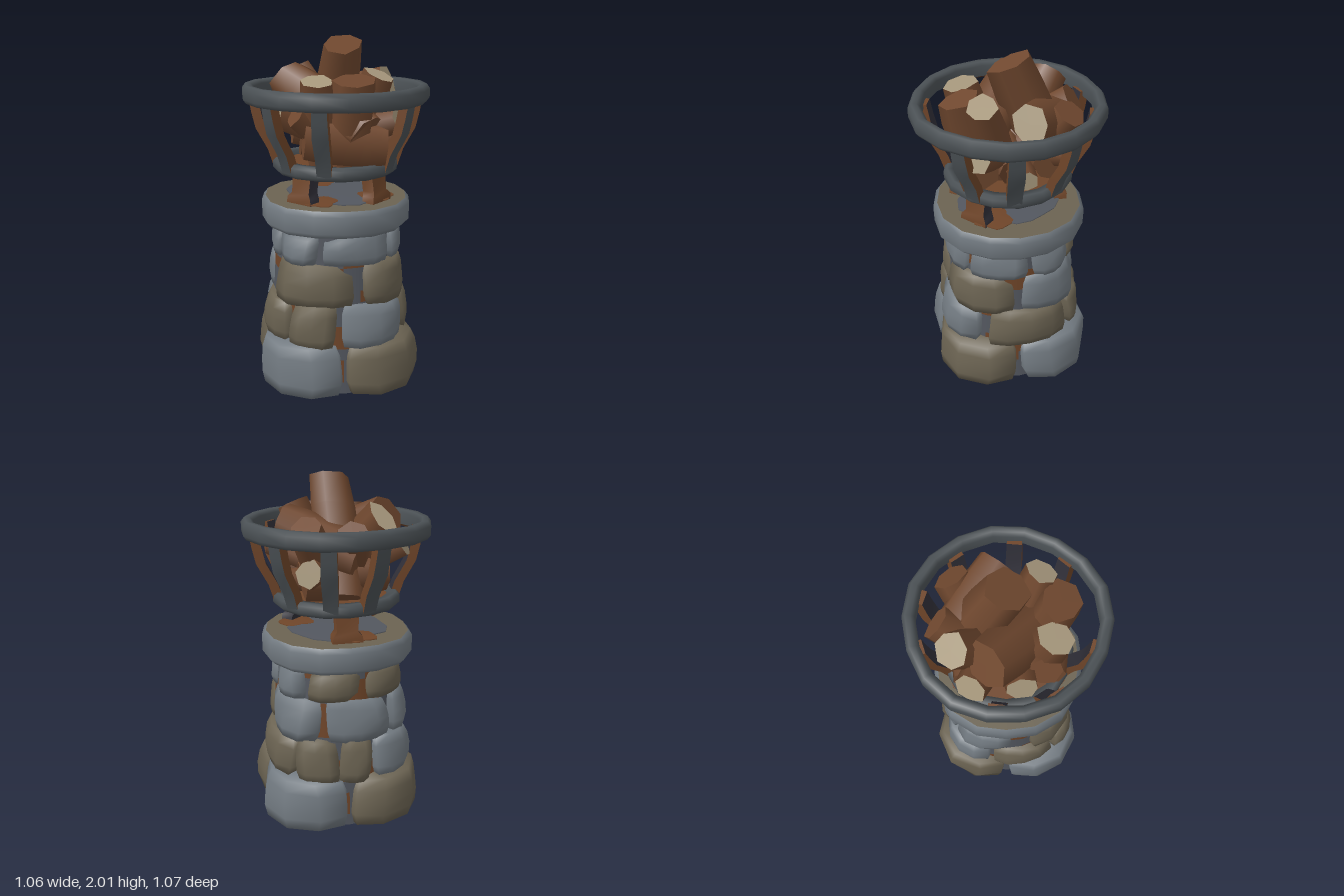
import * as THREE from 'three';
import { mergeVertices } from 'three/addons/utils/BufferGeometryUtils.js';

const mat = (name, color) => new THREE.MeshStandardMaterial({ name, color });
const grey = mat('grey stone', 0x727a81);
const olive = mat('olive stone', 0x6b6352);
const slate = mat('slate mortar', 0x53575f);
const rust = mat('rust', 0x6f4529);
const iron = mat('iron', 0x4b5155);
const dark = mat('dark iron', 0x302f38);
const bark = mat('bark', 0x70482f);
const wood = mat('cut wood', 0xa6977c);

const DEG = Math.PI / 180;

function add(parent, name, geometry, material) {
  const mesh = new THREE.Mesh(geometry, material);
  mesh.name = name;
  parent.add(mesh);
  return mesh;
}

// Move every vertex by a rule
function warp(geometry, rule) {
  const p = geometry.attributes.position, v = new THREE.Vector3();
  for (let i = 0; i < p.count; i++) {
    rule(v.fromBufferAttribute(p, i));
    p.setXYZ(i, v.x, v.y, v.z);
  }
  return geometry;
}

// Rounded block bent around the slightly square tower; azimuth 0 is the front, growing towards +x
function stone(azimuth, width, y0, y1, radius, drop, seed) {
  let g = new THREE.BoxGeometry(2, 2, 2, 4, 4, 2);
  g.deleteAttribute('uv');
  g.deleteAttribute('normal');
  g = mergeVertices(g);
  warp(g, v => {
    const n = 7;
    const len = Math.pow(Math.abs(v.x) ** n + Math.abs(v.y) ** n + Math.abs(v.z) ** n, 1 / n);
    v.divideScalar(len);
    const lump = 0.01 * Math.sin(v.x * 3 + seed * 2.1) * Math.cos(v.y * 2 + seed);
    const a = (azimuth + v.x * width / 2 + 2 * v.y * Math.sin(seed * 3)) * DEG;
    const r = radius - 0.1 + v.z * 0.1 - drop * v.x * v.x - 0.015 * v.y + lump
      - 0.015 * v.y * v.y - 0.016 * Math.cos(4 * a);
    const y = y0 + (y1 - y0) * (v.y + 1) / 2 + (v.y > 0 ? 0.015 * v.x * Math.sin(seed * 5) : 0);
    v.set(r * Math.sin(a), y, r * Math.cos(a));
  });
  g.computeVertexNormals();
  return g;
}

// Ring or disc turned from a profile, uneven around the axis and optionally a little square
function turned(profile, sides, uneven, square = 0) {
  const g = new THREE.LatheGeometry(profile.map(p => new THREE.Vector2(...p)), sides);
  return warp(g, v => {
    const a = Math.atan2(v.x, v.z);
    const k = 1 + uneven * (Math.sin(3 * a + 1) + Math.sin(5 * a)) - square * Math.cos(4 * a);
    v.x *= k;
    v.z *= k;
  });
}

// Flat iron strip following [radius, y, width] points
function strip(points, thickness) {
  const n = points.length - 1;
  const g = new THREE.BoxGeometry(1, n, 1, 1, n, 1);
  warp(g, v => {
    const [r, y, w] = points[Math.round(v.y + n / 2)];
    v.set(v.x * w, y, r + v.z * thickness);
  });
  g.computeVertexNormals();
  return g;
}

// Uneven log with worn ends from one point to another
function log(a, b, radius, seed) {
  const from = new THREE.Vector3(...a), to = new THREE.Vector3(...b);
  const dir = to.clone().sub(from), len = dir.length();
  const g = new THREE.CylinderGeometry(radius, radius, len, 7, 4);
  warp(g, v => {
    const t = Math.atan2(v.x, v.z), end = 2 * Math.abs(v.y) / len;
    const k = (1.02 - 0.12 * end ** 4)
      * (1 + 0.08 * Math.sin(2 * t + seed * 1.7) + 0.05 * Math.sin(3 * t + seed + v.y * 4));
    v.set(v.x * k, v.y + v.x * 0.15 * Math.sin(seed * 2), v.z * k);
  });
  g.applyQuaternion(new THREE.Quaternion().setFromUnitVectors(new THREE.Vector3(0, 1, 0), dir.normalize()));
  const mid = from.add(to).multiplyScalar(0.5);
  return g.translate(mid.x, mid.y, mid.z);
}

export function createModel() {
  const model = new THREE.Group();
  model.name = 'brazier';

  // Mortar core with patches of two colours
  const core = new THREE.CylinderGeometry(0.355, 0.405, 0.96, 24, 14, true);
  core.clearGroups();
  for (let i = 0; i < core.index.count / 6; i++) {
    const col = Math.floor(i / 14), row = i % 14;
    const patch = Math.sin(col * 1.05 + row * 0.9) + Math.sin(row * 1.7 - col * 0.52);
    core.addGroup(i * 6, 6, patch > 0.1 ? 0 : 1);
  }
  add(model, 'mortarCore', core.translate(0, 0.49, 0), [rust, slate]);
  add(model, 'towerBase', new THREE.CylinderGeometry(0.4, 0.4, 0.02, 16), olive).position.y = 0.02;

  // Stone courses: each stone is [azimuth, width in degrees, colour]
  const courses = [
    { name: 'baseStone', y0: 0.005, y1: 0.32, r: 0.52, drop: 0.065, stones: [
      [45, 91, olive], [135, 91, grey], [225, 91, olive], [315, 91, grey]] },
    { name: 'lowerStone', y0: 0.285, y1: 0.555, r: 0.452, drop: 0.022, stones: [
      [27, 62, grey], [99, 74, olive], [154, 36, olive], [185, 28, olive],
      [228, 56, grey], [285, 58, olive], [335, 40, olive]] },
    { name: 'middleStone', y0: 0.525, y1: 0.795, r: 0.42, drop: 0.018, stones: [
      [-29, 82, olive], [52, 74, olive], [124, 67, grey], [188, 60, grey], [248, 57, grey]] },
    { name: 'upperStone', y0: 0.77, y1: 0.975, r: 0.395, drop: 0.012, stones: [
      [12, 65, grey], [73, 56, grey], [121, 40, grey], [168, 50, olive],
      [222, 58, olive], [274, 44, grey], [318, 42, grey]] },
  ];
  courses.forEach((c, k) => c.stones.forEach(([azimuth, width, m], i) => {
    const g = stone(azimuth, width, c.y0, c.y1, c.r, c.drop, i * 1.3 + k);
    add(model, c.name + (i + 1), g, [m, m, m, k === 0 ? olive : m, m, m]);
  }));

  // Cap slab with a worn top
  add(model, 'capStone', turned([[0.3, 0.96], [0.415, 0.955], [0.443, 0.985], [0.445, 1.08], [0.42, 1.108]],
    16, 0.008, 0.02), grey);
  add(model, 'capTop', turned([[0.421, 1.108], [0, 1.113]], 16, 0.008, 0.02), olive);
  const patchGeometry = (r, uneven) => turned([[r, 1.11], [r, 1.117], [0, 1.117]], 20, uneven);
  add(model, 'capMortarPatch', patchGeometry(0.28, 0.07), slate);
  for (const a of [45, 180, -45]) {
    const g = patchGeometry(0.1, 0.1).translate(0.25 * Math.sin(a * DEG + 0.3), 0.003, 0.25 * Math.cos(a * DEG + 0.3));
    add(model, 'capRustPatch', g, rust);
  }

  // Faces in order: two sides, two ends, outside, inside
  const barFaces = [rust, rust, rust, rust, iron, dark];
  const legFaces = [dark, rust, rust, rust, rust, dark];

  // Three legs on flared feet
  for (const a of [45, 180, -45]) {
    const g = strip([[0.295, 1.1, 0.175], [0.295, 1.145, 0.165], [0.28, 1.17, 0.12], [0.265, 1.3, 0.135]], 0.075);
    add(model, 'leg', g, legFaces).rotation.y = a * DEG;
  }

  // Basket hoops and floor, the upper hoop rusted underneath
  add(model, 'lowerHoop', turned([[0.3, 1.262], [0.345, 1.255], [0.365, 1.275], [0.365, 1.315], [0.345, 1.333],
    [0.3, 1.328], [0.3, 1.262]], 16, 0.008), iron);
  add(model, 'basketFloor', new THREE.CylinderGeometry(0.31, 0.31, 0.03, 16), rust).position.y = 1.285;
  const upperHoop = turned([[0.468, 1.665], [0.49, 1.65], [0.518, 1.652], [0.534, 1.675], [0.534, 1.725],
    [0.515, 1.75], [0.485, 1.748], [0.466, 1.73], [0.468, 1.665]], 18, 0.008);
  for (let i = 0; i < 18; i++) {
    upperHoop.addGroup(i * 48, 12, i % 3 ? 1 : 0);
    upperHoop.addGroup(i * 48 + 12, 36, 0);
  }
  add(model, 'upperHoop', upperHoop, [iron, rust]);

  // Curved basket bars, azimuths measured from the front towards +x
  for (const a of [86, 49, -17, -56, -96, -161, 164, 127]) {
    const g = strip([[0.33, 1.28, 0.08], [0.362, 1.38, 0.085], [0.428, 1.5, 0.09],
      [0.45, 1.59, 0.085], [0.468, 1.69, 0.08]], 0.055);
    add(model, 'basketBar', g, barFaces).rotation.y = a * DEG;
  }

  // Piled logs: start, end, radius, colour of the far end
  const logs = [
    [[0.01, 1.35, -0.26], [0.04, 1.965, 0.0], 0.128, bark],
    [[0.14, 1.5, 0.25], [-0.27, 1.77, -0.1], 0.135, bark],
    [[-0.06, 1.58, -0.32], [0.31, 1.74, -0.06], 0.115, wood],
    [[0.0, 1.4, 0.0], [-0.2, 1.78, -0.27], 0.11, wood],
    [[-0.09, 1.33, 0.12], [-0.13, 1.785, 0.24], 0.105, wood],
    [[0.08, 1.35, 0.04], [0.22, 1.81, 0.17], 0.095, wood],
    [[0.03, 1.34, 0.16], [0.07, 1.79, 0.27], 0.125, bark],
    [[0.08, 1.4, -0.1], [0.22, 1.74, -0.29], 0.1, bark],
    [[0.1, 1.4, 0], [-0.34, 1.62, -0.18], 0.09, wood],
    [[0.2, 1.4, 0], [-0.33, 1.6, 0.08], 0.1, wood],
    [[-0.2, 1.47, 0.2], [0.25, 1.43, 0.2], 0.13, bark],
    [[-0.2, 1.4, -0.02], [0.33, 1.41, -0.04], 0.075, wood],
    [[0, 1.45, 0], [0.33, 1.57, 0.22], 0.085, wood],
    [[0.22, 1.45, -0.2], [-0.24, 1.48, -0.18], 0.12, bark],
    [[-0.06, 1.5, -0.1], [-0.02, 1.7, -0.36], 0.1, bark],
    [[0.05, 1.4, 0.1], [-0.24, 1.62, 0.2], 0.1, bark],
    [[0, 1.45, 0], [0.21, 1.5, -0.31], 0.085, wood],
  ];
  logs.forEach(([a, b, r, end], i) => add(model, 'log' + (i + 1), log(a, b, r, i + 1), [bark, end, bark]));

  return model;
}
